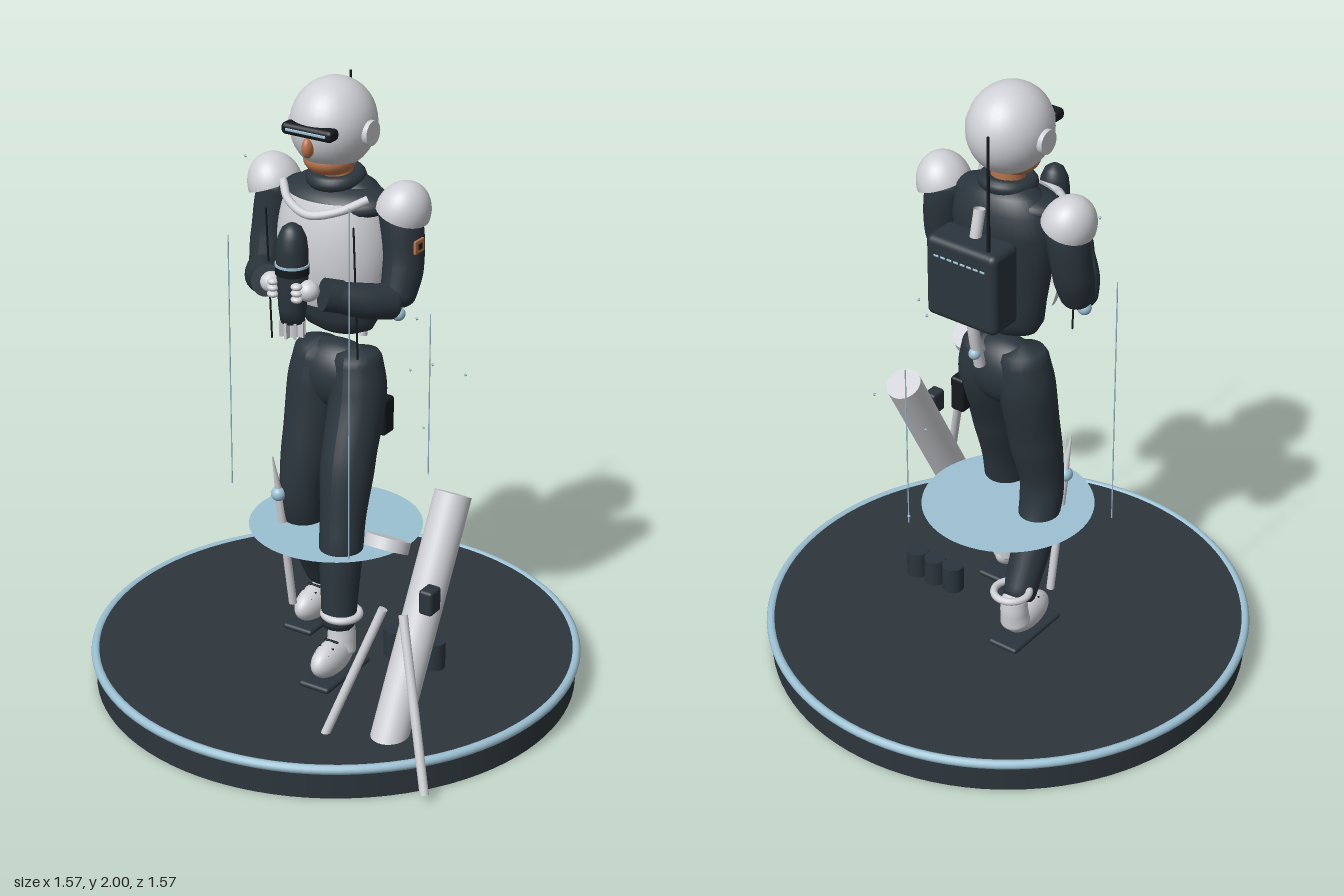
import * as THREE from 'three';
import { RoundedBoxGeometry } from 'three/addons/geometries/RoundedBoxGeometry.js';

const V = (x, y, z) => new THREE.Vector3(x, y, z);
const mat = (name, color, side = THREE.FrontSide) => {
  const m = new THREE.MeshStandardMaterial({ color, side });
  m.name = name;
  return m;
};

// Swept limb with a radius at each path point and rounded ends
function limbGeometry(points, radii, cap = 0.08) {
  const curve = new THREE.CatmullRomCurve3(points);
  const seg = 48, radial = 24;
  const g = new THREE.TubeGeometry(curve, seg, 1, radial);
  const p = g.attributes.position, v = V(0, 0, 0);
  for (let i = 0; i <= seg; i++) {
    const u = i / seg, c = curve.getPointAt(u);
    const t = curve.getUtoTmapping(u) * (radii.length - 1);
    const k = Math.min(Math.floor(t), radii.length - 2);
    let r = THREE.MathUtils.lerp(radii[k], radii[k + 1], THREE.MathUtils.smoothstep(t - k, 0, 1));
    const s = Math.min(u, 1 - u) / cap;
    if (s < 1) r *= Math.sqrt(Math.max(0, 1 - (1 - s) ** 2));
    for (let j = 0; j <= radial; j++) {
      const n = i * (radial + 1) + j;
      v.fromBufferAttribute(p, n).sub(c).multiplyScalar(r).add(c);
      p.setXYZ(n, v.x, v.y, v.z);
    }
  }
  g.computeVertexNormals();
  return g;
}

export function createModel() {
  const root = new THREE.Group();
  root.name = 'armouredSoldier';
  const dark = mat('darkSlate', 0x2b353d);
  const floor = mat('baseSlate', 0x2d363c);
  const grey = mat('lightGrey', 0xd0d1d6, THREE.DoubleSide);
  const blue = mat('paleBlue', 0x9cc1d3, THREE.DoubleSide);
  const black = mat('black', 0x15191d);
  const skin = mat('skin', 0xb8744a);

  const add = (name, geo, m, x = 0, y = 0, z = 0, parent = root) => {
    const o = new THREE.Mesh(geo, m);
    o.name = name;
    o.position.set(x, y, z);
    parent.add(o);
    return o;
  };
  const ball = (name, m, x, y, z, rx, ry = rx, rz = rx) => {
    const o = add(name, new THREE.SphereGeometry(1, 32, 20), m, x, y, z);
    o.scale.set(rx, ry, rz);
    return o;
  };
  const cyl = (r, h, s = 32) => new THREE.CylinderGeometry(r, r, h, s);
  // Cylinder between two points
  const rod = (name, m, a, b, r0, r1 = r0) => {
    const d = b.clone().sub(a), c = a.clone().add(b).multiplyScalar(0.5);
    const o = add(name, new THREE.CylinderGeometry(r1, r0, d.length(), 32), m, c.x, c.y, c.z);
    o.quaternion.setFromUnitVectors(V(0, 1, 0), d.normalize());
    return o;
  };
  const box = (name, m, w, h, d, x, y, z, r = 0.01) =>
    add(name, new RoundedBoxGeometry(w, h, d, 3, r), m, x, y, z);
  const lathe = (pts) => new THREE.LatheGeometry(pts.map(([r, y]) => new THREE.Vector2(r, y)), 40);

  // Display base, rim and hovering disc
  add('base', new THREE.CylinderGeometry(0.77, 0.77, 0.1, 96), floor, 0, 0.055, 0).scale.y = 1.1;
  add('baseRim', new THREE.TorusGeometry(0.77, 0.015, 12, 96), blue, 0, 0.1, 0).rotation.x = Math.PI / 2;
  add('hoverDisc', new THREE.CircleGeometry(0.275, 64), blue, 0, 0.53, 0).rotation.x = -Math.PI / 2;

  // Hovering light lines and specks
  [[51, 1.72], [172, 1.44], [-69, 1.15]].forEach(([deg, top]) => {
    const a = THREE.MathUtils.degToRad(deg);
    add('lightLine', cyl(0.002, top - 0.59, 6), blue, 0.366 * Math.cos(a), (top + 0.59) / 2, 0.366 * Math.sin(a));
  });
  [[0.055, 0.7, -0.435], [0.07, 0.95, -0.325], [0.28, 0.99, -0.31], [-0.34, 1.68, -0.015],
    [0.2, 1.22, -0.145], [0.345, 1.155, 0]].forEach(([x, y, z]) =>
    add('speck', new THREE.OctahedronGeometry(0.006), blue, x, y, z));

  // Trousers
  ball('pelvis', dark, 0, 1.04, -0.012, 0.155, 0.115, 0.088);
  add('leftLeg', limbGeometry([V(0.065, 1.15, -0.015), V(0.08, 1.0, 0), V(0.09, 0.8, 0.07), V(0.103, 0.58, 0.125),
    V(0.118, 0.25, 0.168)], [0.075, 0.09, 0.085, 0.07, 0.054], 0.04), dark);
  add('rightLeg', limbGeometry([V(-0.065, 1.15, -0.015), V(-0.08, 1.0, -0.01), V(-0.09, 0.8, 0.02), V(-0.103, 0.62, 0.04),
    V(-0.11, 0.48, 0.0), V(-0.118, 0.25, -0.115)], [0.075, 0.09, 0.083, 0.07, 0.064, 0.054], 0.04), dark);
  box('holster', black, 0.05, 0.12, 0.06, 0.14, 0.92, -0.05);

  // Boots, soles and ankle rings
  [[0.125, 0.2, 0.16, 0.16], [-0.12, -0.075, -0.13, -0.145]].forEach(([x, z, ankle, ringZ]) => {
    ball('bootToe', grey, x, 0.185, z + 0.015, 0.046, 0.058, 0.1);
    add('bootShaft', limbGeometry([V(x, 0.17, ankle + 0.01), V(x, 0.23, ankle), V(x, 0.3, ankle)], [0.05, 0.045, 0.04], 0.2), grey);
    box('sole', dark, 0.11, 0.02, 0.25, x, 0.125, z);
    const ring = add('ankleRing', new THREE.TorusGeometry(0.056, 0.012, 12, 40), grey, x, 0.315, ringZ);
    ring.rotation.x = Math.PI / 2;
    for (let i = 0; i < 3; i++) box('lace', black, 0.05, 0.006, 0.008, x, 0.243 - i * 0.012, z + 0.02 + i * 0.025, 0.002);
  });

  // Torso, chest plate and collar
  add('torso', lathe([[0, 1.185], [0.07, 1.19], [0.115, 1.21], [0.137, 1.25], [0.145, 1.32], [0.165, 1.44],
    [0.178, 1.56], [0.165, 1.63], [0.125, 1.675], [0.08, 1.7], [0, 1.705]]), dark, 0, 0, -0.018).scale.z = 0.6;
  const plate = add('chestPlate', new THREE.SphereGeometry(1, 40, 24, 0, Math.PI, 0.96, 1.17), grey, 0, 1.47, 0);
  plate.scale.set(0.19, 0.3, 0.15);
  const yoke = ball('yoke', dark, 0, 1.63, 0.01, 0.19, 0.055, 0.105);
  yoke.rotation.x = 0.15;
  add('collar', new THREE.TorusGeometry(0.068, 0.024, 14, 40), dark, 0, 1.69, 0).rotation.x = Math.PI / 2 + 0.1;
  add('collarTube', new THREE.TubeGeometry(new THREE.CatmullRomCurve3([V(-0.15, 1.66, 0.06), V(-0.09, 1.63, 0.12),
    V(0, 1.61, 0.15), V(0.09, 1.63, 0.12), V(0.15, 1.66, 0.06)]), 32, 0.013, 12), grey);
  for (const s of [-1, 1]) rod('chestCord', black, V(s * 0.155, 1.6, 0.145), V(s * 0.155, 1.17, 0.12), 0.003);

  // Head
  add('neck', cyl(0.052, 0.1), skin, 0, 1.71, 0);
  ball('jaw', skin, 0, 1.755, 0.03, 0.08, 0.05, 0.085);
  ball('helmet', grey, 0, 1.86, 0.012, 0.127, 0.14, 0.143);
  ball('nose', skin, 0, 1.82, 0.15, 0.017, 0.032, 0.024);
  box('visor', black, 0.178, 0.037, 0.05, 0, 1.868, 0.14, 0.014);
  box('visorGlow', blue, 0.14, 0.009, 0.006, 0, 1.868, 0.164, 0.002);
  for (const s of [-1, 1]) add('earDisc', cyl(0.038, 0.03), grey, s * 0.123, 1.85, 0.012).rotation.z = Math.PI / 2;

  // Arms, shoulder domes, gloves and elbow pads
  for (const s of [-1, 1]) {
    add('upperArm', limbGeometry([V(s * 0.2, 1.66, -0.01), V(s * 0.225, 1.57, -0.012), V(s * 0.238, 1.45, 0),
      V(s * 0.235, 1.33, 0.04)], [0.06, 0.065, 0.062, 0.052], 0.12), dark);
    add('forearm', limbGeometry([V(s * 0.24, 1.35, 0.03), V(s * 0.195, 1.365, 0.11), V(s * 0.1, 1.405, 0.225)],
      [0.056, 0.054, 0.044], 0.12), dark);
    const cuff = rod('cuff', dark, V(s * 0.135, 1.39, 0.18), V(s * 0.1, 1.405, 0.223), 0.05);
    cuff.scale.x = 0.95;
    ball('glove', grey, s * 0.065 + 0.01, 1.425, 0.265, 0.034, 0.032, 0.034);
    for (let i = 0; i < 3; i++) ball('finger', grey, s * 0.042 + 0.015, 1.405 + i * 0.02, 0.3, 0.018, 0.011, 0.016);
    ball('elbowPad', blue, s * 0.25, 1.315, 0.045, 0.022);
    const dome = add('shoulderDome', new THREE.SphereGeometry(1, 32, 16, 0, Math.PI * 2, 0, Math.PI / 2), grey, s * 0.227, 1.615, -0.012);
    dome.scale.set(0.082, 0.1, 0.09);
    dome.rotation.z = -s * 0.35;
  }
  box('armPatch', skin, 0.009, 0.042, 0.05, 0.298, 1.53, 0.01, 0.003);
  box('patchMark', black, 0.004, 0.018, 0.018, 0.303, 1.53, 0.01, 0.001);

  // Held shell with tail fins
  add('shellBody', lathe([[0, 1.31], [0.036, 1.315], [0.042, 1.36], [0.047, 1.45], [0.048, 1.54], [0.043, 1.58],
    [0.03, 1.61], [0.014, 1.622], [0, 1.624]]), dark, 0.017, 0, 0.262);
  add('shellBand', cyl(0.051, 0.024), black, 0.017, 1.48, 0.262);
  add('shellRing', cyl(0.052, 0.007), blue, 0.017, 1.497, 0.262);
  add('shellTail', cyl(0.02, 0.06), grey, 0.017, 1.3, 0.262);
  for (let i = 0; i < 4; i++) {
    add('tailFin', new THREE.BoxGeometry(0.08, 0.05, 0.008), grey, 0.017, 1.295, 0.262).rotation.y = i * Math.PI / 4;
  }

  // Backpack with antenna, stripe and slung tube
  box('backpack', dark, 0.256, 0.27, 0.125, 0, 1.437, -0.18, 0.022);
  for (let i = 0; i < 8; i++) box('packStripe', blue, 0.018, 0.007, 0.006, -0.084 + i * 0.024, 1.515, -0.242, 0.002);
  rod('antenna', black, V(-0.085, 1.55, -0.212), V(-0.085, 1.945, -0.212), 0.006, 0.004);
  add('slungTube', new THREE.TubeGeometry(new THREE.CatmullRomCurve3([V(0, 1.655, -0.14), V(0, 1.52, -0.17),
    V(0, 1.28, -0.178), V(0, 1.12, -0.145)]), 24, 0.018, 16), grey);
  ball('tubeKnob', blue, 0, 1.17, -0.17, 0.019);

  // Staff beside the right leg
  rod('staff', grey, V(-0.136, 0.22, 0.045), V(-0.145, 0.635, 0.105), 0.013);
  rod('staffTip', grey, V(-0.145, 0.635, 0.105), V(-0.148, 0.775, 0.135), 0.012, 0.002);
  ball('staffKnob', blue, -0.145, 0.635, 0.108, 0.024);

  // Launch tube with loose cap, two legs and sight box
  const axis = V(0, 0.885, -0.466);
  rod('launchTube', grey, V(0.455, 0.08, 0.416), V(0.455, 0.775, 0.05), 0.058);
  const cap = V(0.455, 0.77, 0.425);
  rod('looseCap', grey, cap.clone().addScaledVector(axis, -0.018), cap.clone().addScaledVector(axis, 0.018), 0.067);
  for (const s of [-1, 1]) rod('standLeg', grey, V(0.455 + s * 0.035, 0.525, 0.39), V(0.455 + s * 0.195, 0.025, 0.52), 0.014);
  box('sightBox', dark, 0.046, 0.08, 0.06, 0.53, 0.548, 0.305);

  // Canisters on the base
  [0.21, 0.282, 0.355].forEach((x) => add('canister', cyl(0.036, 0.09), dark, x, 0.155, -0.02));

  return root;
}
